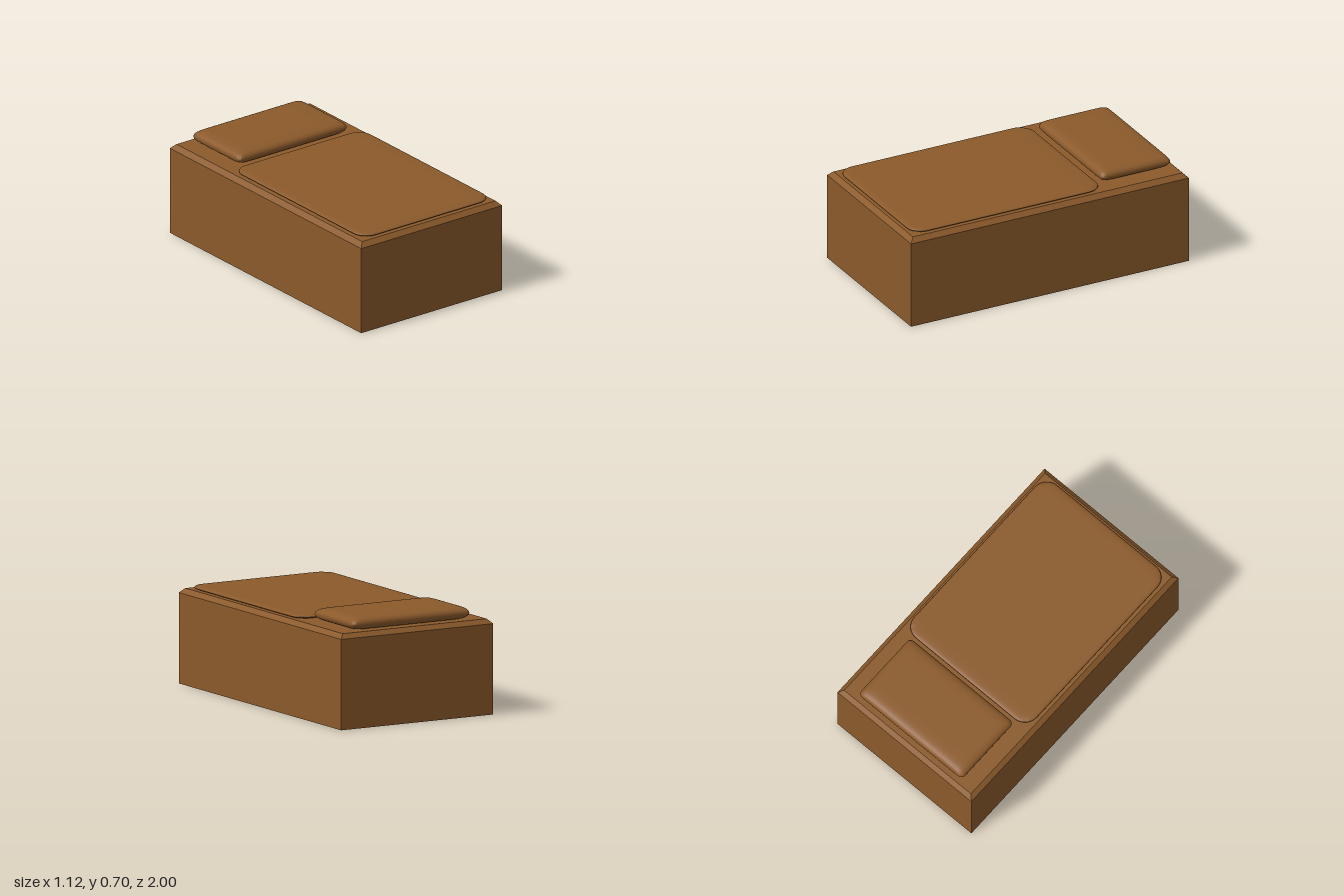
import * as THREE from 'three';
import { mergeGeometries, mergeVertices } from 'three/addons/utils/BufferGeometryUtils.js';

// Soft cushion: an upper and a lower domed sheet meeting at a rounded-rectangle rim
function cushion(width, depth, height, radius, powX, powZ) {
  const a = width / 2, b = depth / 2;
  const sheets = [1, -1].map((side) => {
    const g = new THREE.PlaneGeometry(2, 2, 40, 40);
    g.rotateX(-side * Math.PI / 2);
    const p = g.attributes.position;
    for (let i = 0; i < p.count; i++) {
      // crowd the grid towards the rim
      const u = Math.sin(p.getX(i) * Math.PI / 2), v = Math.sin(p.getZ(i) * Math.PI / 2);
      let x = u * a, z = v * b;
      // round the corners in plan
      const cx = THREE.MathUtils.clamp(x, radius - a, a - radius);
      const cz = THREE.MathUtils.clamp(z, radius - b, b - radius);
      const dx = x - cx, dz = z - cz, len = Math.hypot(dx, dz);
      if (len > 0) {
        const k = Math.max(Math.abs(dx), Math.abs(dz)) / len;
        x = cx + dx * k;
        z = cz + dz * k;
      }
      const dome = Math.max(0, (1 - Math.abs(u) ** powX) * (1 - Math.abs(v) ** powZ));
      p.setXYZ(i, x, side * height / 2 * Math.sqrt(dome), z);
    }
    g.deleteAttribute('uv');
    g.deleteAttribute('normal');
    return g;
  });
  const geo = mergeVertices(mergeGeometries(sheets), 1e-5);
  geo.computeVertexNormals();
  return geo;
}

// Open-bottomed box with a chamfered upper edge, built from rectangular rings
function bedShell() {
  const rings = [[0.5625, 0, 1], [0.5625, 0.585, 1], [0.532, 0.615, 0.97]].map(([x, y, z]) =>
    [[x, y, z], [x, y, -z], [-x, y, -z], [-x, y, z]]);
  const points = [];
  const quad = (a, b, c, d) => points.push(...a, ...b, ...c, ...a, ...c, ...d);
  for (let r = 0; r < 2; r++) {
    for (let i = 0; i < 4; i++) {
      const j = (i + 1) % 4;
      quad(rings[r][i], rings[r][j], rings[r + 1][j], rings[r + 1][i]);
    }
  }
  quad(...rings[2]);
  const g = new THREE.BufferGeometry();
  g.setAttribute('position', new THREE.Float32BufferAttribute(points, 3));
  g.computeVertexNormals();
  return g;
}

export function createModel() {
  const brown = new THREE.MeshStandardMaterial({ color: 0x8b5a2b, side: THREE.DoubleSide });
  brown.name = 'brown';
  const group = new THREE.Group();
  group.name = 'bed';
  const add = (name, geometry, x, y, z) => {
    const mesh = new THREE.Mesh(geometry, brown);
    mesh.name = name;
    mesh.position.set(x, y, z);
    group.add(mesh);
  };

  add('bedBase', bedShell(), 0, 0, 0);
  add('blanket', cushion(1.03, 1.365, 0.026, 0.1, 30, 36), 0.003, 0.628, 0.273);
  add('pillow', cushion(0.87, 0.5, 0.084, 0.03, 16, 10), 0.002, 0.656, -0.693);
  return group;
}
